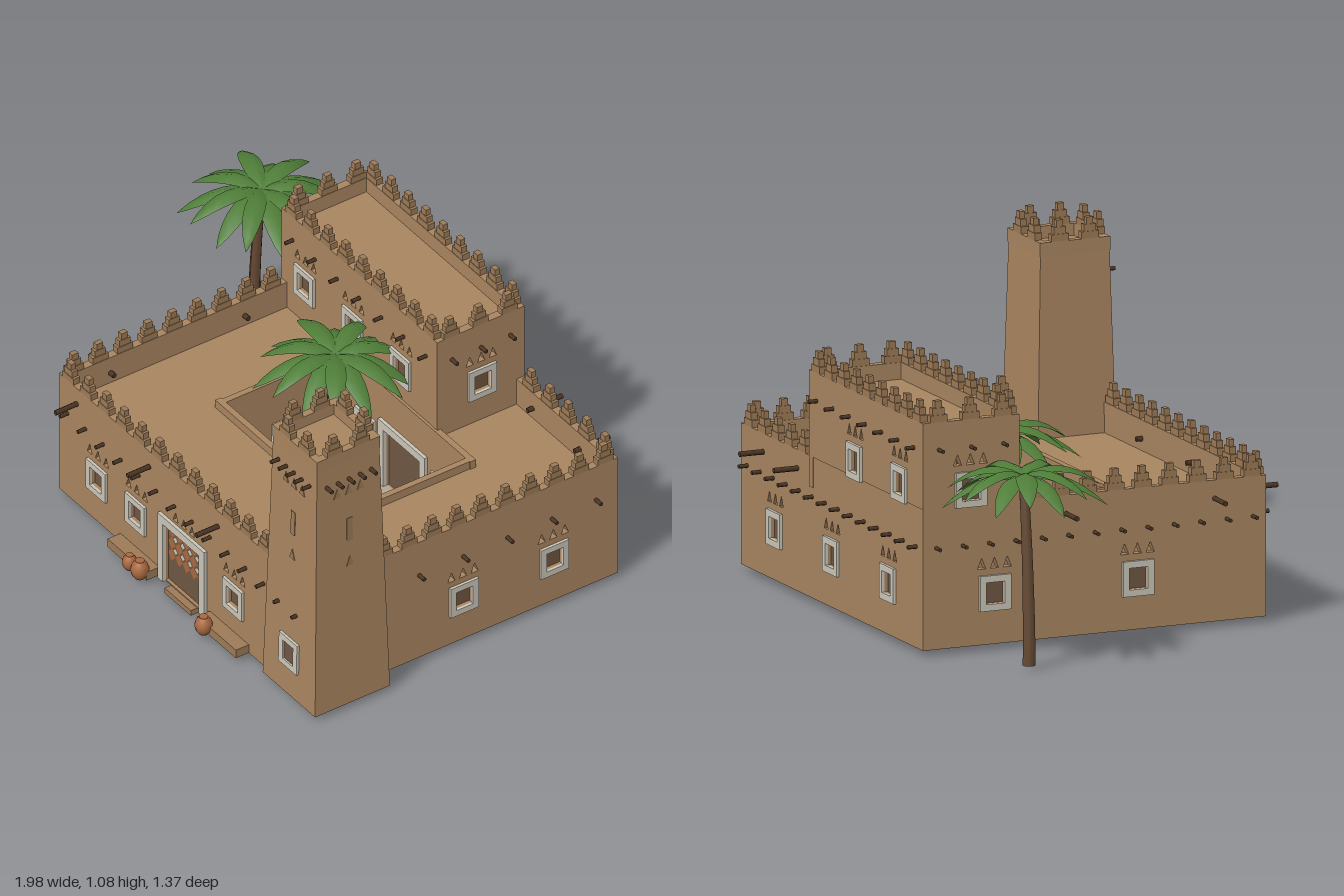
import * as THREE from 'three';

const mat = (name, color, side = THREE.FrontSide) => {
  const m = new THREE.MeshStandardMaterial({ color, side });
  m.name = name;
  return m;
};

export function createModel() {
  const M = {
    clay: mat('clay', 0xa88560), trim: mat('darker clay', 0x9c7a56),
    frame: mat('limewash', 0xcac5b8), shutter: mat('shutter wood', 0x6e5642),
    beam: mat('dark beam wood', 0x4b3524), trunk: mat('palm bark', 0x664a34),
    leaf: mat('palm green', 0x4f7d38, THREE.DoubleSide), pot: mat('terracotta', 0xa9683f),
    floor: mat('courtyard paving', 0xb3a594),
  };
  const model = new THREE.Group();
  model.name = 'mudBrickHouse';

  const add = (parent, name, geo, material, x = 0, y = 0, z = 0) => {
    const m = new THREE.Mesh(geo, material);
    m.name = name;
    m.position.set(x, y, z);
    parent.add(m);
    return m;
  };
  const box = (parent, name, material, x0, x1, y0, y1, z0, z1) =>
    add(parent, name, new THREE.BoxGeometry(x1 - x0, y1 - y0, z1 - z0), material,
      (x0 + x1) / 2, (y0 + y1) / 2, (z0 + z1) / 2);
  const poly = (Type, pts) => new Type(pts.map(p => new THREE.Vector2(...p)));
  const rect = (x0, x1, y0, y1) => [[x0, y0], [x1, y0], [x1, y1], [x0, y1]];
  const plate = (outline, holes, depth) => {
    const s = poly(THREE.Shape, outline);
    s.holes = holes.map(h => poly(THREE.Path, h));
    return new THREE.ExtrudeGeometry(s, { depth, bevelEnabled: false });
  };
  const triangles = (u, y, s = 0.036) => [-1, 0, 1].map(i =>
    [[u + i * s * 1.25 - s * 0.4, y], [u + i * s * 1.25 + s * 0.4, y], [u + i * s * 1.25, y + s]]);

  // Stepped merlons spread evenly along a wall top
  const merlons = (g, len, y, n, u0 = 0) => {
    for (let i = 0; i < n; i++) {
      const u = u0 + ((i + 0.5) / n - 0.5) * len;
      [0.03, 0.021, 0.012].forEach((w, k) =>
        box(g, 'merlon', M.trim, u - w, u + w, y + k * 0.023, y + (k + 1) * 0.023, -0.026 + k * 0.002, -k * 0.002));
    }
  };
  const beams = (g, us, y, out, r = 0.007) => us.forEach(u => {
    const m = add(g, 'beamEnd', new THREE.CylinderGeometry(r, r, out + 0.05, 6), M.beam, u, y, (out - 0.05) / 2);
    m.rotation.x = Math.PI / 2;
  });
  const frame = (g, u, y0, y1, hw, b, z = 0) =>
    add(g, 'windowFrame', plate(rect(u - hw, u + hw, y0, y1),
      [rect(u - hw + b, u + hw - b, y0 + b, y1 - b)], 0.01), M.frame, 0, 0, z);
  const spread = (len, step) => {
    const n = Math.round(len / step);
    return Array.from({ length: n }, (_, i) => ((i + 0.5) / n - 0.5) * len);
  };

  // A wall with pierced openings; its outer face looks along local +z
  const wall = (name, turn, cx, cz, len, y0, y1, o = {}) => {
    const g = new THREE.Group();
    g.name = name;
    g.position.set(cx, 0, cz);
    g.rotation.y = turn * Math.PI / 2;
    model.add(g);
    const t = o.t || 0.028, sign = turn === 0 || turn === -1 ? 1 : -1;
    const local = w => sign * (w - (turn % 2 === 0 ? cx : cz));
    const holes = [], sill = o.sill || 0.13;
    (o.windows || []).map(local).forEach(u => {
      holes.push(rect(u - 0.033, u + 0.033, sill + 0.022, sill + 0.093));
      if (!o.plain) holes.push(...triangles(u, sill + 0.137));
      frame(g, u, sill, sill + 0.115, 0.054, 0.022);
      box(g, 'shutter', M.shutter, u - 0.034, u + 0.034, sill + 0.02, sill + 0.095, -0.02, -0.012);
    });
    if (o.door !== undefined) {
      const u = local(o.door);
      holes.push(rect(u - 0.1, u + 0.1, y0 + 0.004, 0.25));
      if (!o.plain) holes.push(...triangles(u, 0.29));
      box(g, 'doorLeaf', M.shutter, u - 0.1, u + 0.1, y0, 0.25, -0.02, -0.012);
      [-1, 1].forEach(s => box(g, 'doorJamb', M.frame,
        u + s * 0.114 - 0.015, u + s * 0.114 + 0.015, y0, 0.28, 0, 0.012));
      box(g, 'doorLintel', M.frame, u - 0.1, u + 0.1, 0.25, 0.28, 0, 0.012);
      // Carved lattice on the upper door
      if (!o.plain) for (let r = 0; r < 3; r++) for (let c = 0; c < 5; c++) {
        const x = u - 0.08 + c * 0.04, y = 0.132 + r * 0.046;
        const d = add(g, 'latticeDiamond', new THREE.CircleGeometry(1, 4), M.pot, x, y, -0.01);
        d.scale.set(0.02, 0.024, 1);
        if (c < 4 && r < 2) add(g, 'latticeInlay', new THREE.CircleGeometry(0.011, 4), M.frame, x + 0.02, y + 0.023, -0.01);
      }
    }
    add(g, 'wallPanel', plate(rect(-len / 2, len / 2, y0, y1), holes, t), M.clay, 0, 0, -t);
    if (o.beamY) beams(g, spread(len, o.step || 0.096), o.beamY, 0.032);
    if (o.spouts) beams(g, o.spouts.map(local), 0.42, 0.085, 0.009);
    if (o.merlons) {
      const [a, b] = (o.span || []).map(local);
      merlons(g, o.span ? Math.abs(a - b) : len, y1, o.merlons, o.span ? (a + b) / 2 : 0);
    }
  };

  // Ground storey
  const lower = { beamY: 0.35 };
  wall('frontWall', 0, 0.23, 0.6, 1.38, 0.02, 0.48,
    { ...lower, windows: [-0.245, -0.03, 0.51], door: 0.23, spouts: [-0.36, 0.04, 0.42], merlons: 12, span: [-0.46, 0.72] });
  wall('leftWall', 1, 0.92, 0, 1.2, 0.02, 0.48,
    { ...lower, step: 0.172, windows: [0, -0.35], merlons: 10, span: [-0.6, 0.35] });
  wall('backWall', 2, 0.23, -0.6, 1.38, 0.02, 0.48,
    { ...lower, windows: [-0.2, 0.23, 0.66], spouts: [0.49, 0.75], merlons: 5, span: [0.41, 0.92] });
  wall('rightWall', -1, -0.46, 0, 1.2, 0.02, 0.48,
    { ...lower, windows: [-0.35, 0.15], spouts: [-0.1, 0.42], merlons: 9, span: [-0.26, 0.6] });

  // Flat roof around the open courtyard
  const roof = add(model, 'roof', plate(rect(-0.455, 0.915, -0.595, 0.595),
    [rect(-0.115, 0.575, -0.265, 0.205)], 0.02), M.clay, 0, 0.38, 0);
  roof.rotation.x = Math.PI / 2;

  // Upper room
  const upper = { beamY: 0.67, sill: 0.475, step: 0.123 };
  wall('upperFrontWall', 0, -0.03, -0.265, 0.86, 0.38, 0.76, { ...upper, windows: [-0.33, -0.065, 0.2], merlons: 9 });
  wall('upperBackWall', 2, -0.03, -0.602, 0.86, 0.48, 0.76, { ...upper, windows: [-0.29, 0.05], merlons: 9 });
  wall('upperLeftWall', 1, 0.4, -0.433, 0.338, 0.38, 0.76, { ...upper, windows: [-0.435], merlons: 3 });
  wall('upperRightWall', -1, -0.462, -0.433, 0.338, 0.48, 0.76, { ...upper, windows: [-0.435], merlons: 3 });
  box(model, 'upperRoof', M.clay, -0.455, 0.395, 0.685, 0.705, -0.595, -0.27);

  // Courtyard: walls facing inward, raised rim, paving
  const yard = { plain: true, t: 0.022 };
  wall('courtBackWall', 0, 0.23, -0.255, 0.73, 0.02, 0.41, { ...yard, windows: [0.02, 0.44], door: 0.23 });
  wall('courtFrontWall', 2, 0.23, 0.2, 0.73, 0.02, 0.41, { ...yard, windows: [0.02, 0.44], door: 0.23 });
  wall('courtRightWall', 1, -0.105, -0.028, 0.5, 0.02, 0.41, { ...yard, windows: [-0.03] });
  wall('courtLeftWall', -1, 0.57, -0.028, 0.5, 0.02, 0.41, { ...yard, windows: [-0.03] });
  box(model, 'courtyardFloor', M.floor, -0.11, 0.575, 0.005, 0.025, -0.26, 0.205);

  // Well with cross beam
  const ring = [[0.04, 0], [0.065, 0], [0.065, 0.07], [0.045, 0.07], [0.045, 0.01]];
  add(model, 'wellRing', new THREE.LatheGeometry(ring.map(p => new THREE.Vector2(...p)), 16), M.clay, 0.42, 0.025, -0.13);
  add(model, 'wellShaft', new THREE.CylinderGeometry(0.046, 0.046, 0.04, 16), M.shutter, 0.42, 0.045, -0.13);
  [0.355, 0.485].forEach(x => box(model, 'wellPost', M.beam, x - 0.007, x + 0.007, 0.025, 0.16, -0.137, -0.123));
  box(model, 'wellBeam', M.beam, 0.34, 0.5, 0.15, 0.165, -0.137, -0.123);

  // Tapered corner tower
  const tower = new THREE.Group();
  tower.name = 'tower';
  tower.position.set(0.842, 0, 0.476);
  model.add(tower);
  const shaft = new THREE.CylinderGeometry(0.121 * Math.SQRT2, 0.145 * Math.SQRT2, 0.955, 4).toNonIndexed();
  shaft.rotateY(Math.PI / 4);
  shaft.computeVertexNormals();
  add(tower, 'towerShaft', shaft, M.clay, 0, 0.4975, 0);
  for (let i = 0; i < 4; i++) {
    const side = new THREE.Group();
    side.name = 'towerSide';
    side.rotation.y = i * Math.PI / 2;
    tower.add(side);
    box(side, 'towerParapet', M.clay, -0.123, 0.123, 0.97, 1.015, 0.097, 0.123);
    const top = new THREE.Group();
    top.name = 'towerMerlons';
    top.position.z = 0.123;
    side.add(top);
    merlons(top, 0.21, 1.015, 2);
    if (i > 1) continue;
    // Decorated faces: beam ends, niches, slit
    const face = new THREE.Group();
    face.name = 'towerFaceDetails';
    face.position.set(0, 0.02, 0.1445);
    face.rotation.x = -Math.atan(0.024 / 0.955);
    side.add(face);
    beams(face, [-2, -1, 0, 1, 2].map(k => k * 0.043), 0.88, 0.033);
    const shapes = [...triangles(0, 0.82), rect(-0.011, 0.011, 0.635, 0.725), [[-0.014, 0.54], [0.014, 0.54], [0, 0.577]]];
    shapes.forEach(s => add(face, 'niche', plate(s, [], 0.003), M.trim));
    if (i === 0) {
      frame(face, 0, 0.11, 0.225, 0.05, 0.022);
      box(face, 'towerShutter', M.shutter, -0.029, 0.029, 0.131, 0.204, 0, 0.004);
    }
  }

  // Benches, door step and jars
  box(model, 'bench', M.trim, -0.12, 0.095, 0.02, 0.052, 0.598, 0.65);
  box(model, 'bench', M.trim, 0.375, 0.59, 0.02, 0.052, 0.598, 0.65);
  box(model, 'doorStep', M.trim, 0.16, 0.305, 0, 0.02, 0.56, 0.625);
  const jar = [[0, 0], [0.5, 0.02], [0.85, 0.5], [1, 1.1], [0.85, 1.7], [0.5, 2.05], [0.42, 2.15], [0.5, 2.25], [0, 2.2]];
  [[0.01, 0.025], [0.067, 0.031], [0.42, 0.03]].forEach(([x, r]) =>
    add(model, 'clayJar', new THREE.LatheGeometry(jar.map(([a, b]) => new THREE.Vector2(a * r, b * r)), 14), M.pot, x, 0.017, 0.656));

  // Palms: bent trunk and a crown of folded, drooping fronds
  const frond = (len, rise, droop) => {
    const pos = [], idx = [], n = 7;
    for (let i = 0; i <= n; i++) {
      const t = i / n, w = 0.034 * Math.pow(Math.sin(Math.PI * Math.min(1, 0.08 + t * 0.92)), 0.75);
      const y = rise * t - droop * t * t;
      pos.push(len * t, y - w * 0.45, -w, len * t, y, 0, len * t, y - w * 0.45, w);
      if (i < n) for (let k = 0; k < 2; k++) {
        const a = i * 3 + k, b = a + 3;
        idx.push(a, a + 1, b, a + 1, b + 1, b);
      }
    }
    const g = new THREE.BufferGeometry();
    g.setAttribute('position', new THREE.Float32BufferAttribute(pos, 3));
    g.setIndex(idx);
    g.computeVertexNormals();
    return g;
  };
  const palm = (x, z, h, lean, phase) => {
    const g = new THREE.Group();
    g.name = 'palm';
    g.position.set(x, 0.015, z);
    model.add(g);
    const trunk = new THREE.CylinderGeometry(0.015, 0.021, h, 9, 8);
    const p = trunk.attributes.position;
    for (let i = 0; i < p.count; i++) {
      const t = p.getY(i) / h + 0.5;
      p.setX(i, p.getX(i) + lean * (t * t - 1));
    }
    trunk.computeVertexNormals();
    add(g, 'palmTrunk', trunk, M.trunk, 0, h / 2, 0);
    for (let i = 0; i < 14; i++) {
      const low = i % 2;
      const f = add(g, 'palmFrond', frond(0.272 - 0.014 * (i % 3), low ? 0.08 : 0.14, low ? 0.17 : 0.19), M.leaf, 0, h, 0);
      f.rotation.y = phase + i * Math.PI / 7;
    }
  };
  palm(-0.722, -0.37, 0.61, 0.045, 0.1);
  palm(0.07, -0.1, 0.565, 0.03, 0.3);

  return model;
}
